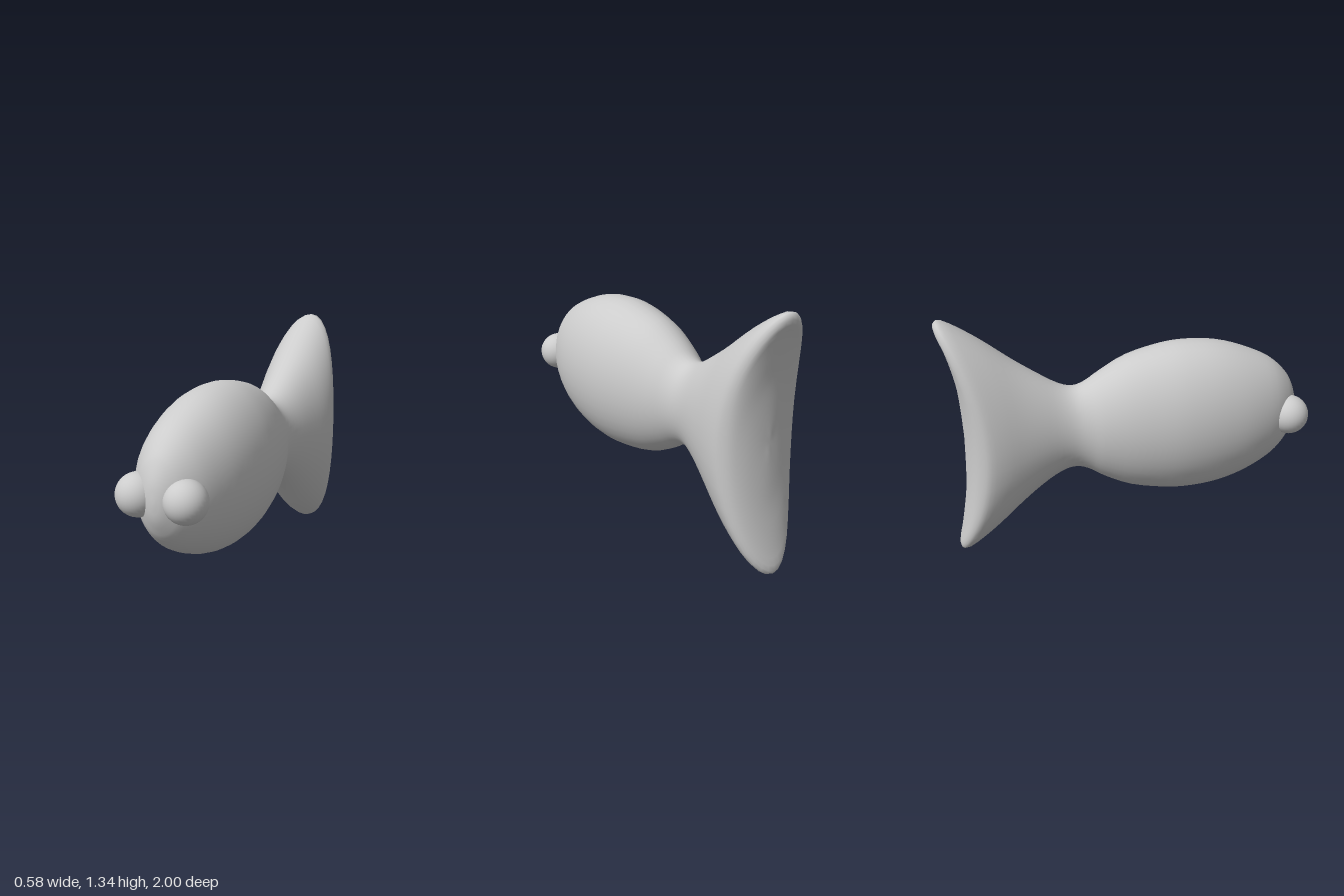
import * as THREE from 'three';
import { mergeVertices } from 'three/addons/utils/BufferGeometryUtils.js';

const SIDES = 40;
const STEPS = 3; // rings between neighbouring sections

// Cross-sections, nose to tail: z, half width, top, bottom, backward sweep of the tips
const sections = [
  [0.97, 0, 0.7, 0.7, 0],
  [0.96, 0.045, 0.79, 0.62, 0],
  [0.93, 0.095, 0.87, 0.55, 0],
  [0.89, 0.14, 0.93, 0.49, 0],
  [0.8, 0.2, 1.01, 0.41, 0],
  [0.65, 0.253, 1.08, 0.335, 0],
  [0.5, 0.28, 1.125, 0.29, 0],
  [0.35, 0.29, 1.14, 0.273, 0],
  [0.2, 0.282, 1.13, 0.28, 0],
  [0.0, 0.245, 1.08, 0.32, 0],
  [-0.15, 0.2, 1.0, 0.39, 0],
  [-0.23, 0.168, 0.95, 0.44, 0],
  [-0.3, 0.152, 0.93, 0.46, 0],
  [-0.38, 0.158, 0.953, 0.44, 0],
  [-0.48, 0.182, 1.02, 0.37, 0.01],
  [-0.58, 0.208, 1.11, 0.265, 0.04],
  [-0.68, 0.232, 1.24, 0.12, 0.11],
  [-0.76, 0.24, 1.34, 0.01, 0.195],
  [-0.805, 0.224, 1.31, 0.03, 0.19],
  [-0.842, 0.19, 1.22, 0.14, 0.12],
  [-0.87, 0.13, 1.04, 0.34, 0.045],
  [-0.885, 0.065, 0.87, 0.52, 0.012],
  [-0.89, 0, 0.69, 0.69, 0],
];

function loftBody() {
  const curveA = new THREE.CatmullRomCurve3(
    sections.map((s) => new THREE.Vector3(s[0], s[1], s[4])), false, 'catmullrom', 0.5);
  const curveB = new THREE.CatmullRomCurve3(
    sections.map((s) => new THREE.Vector3(s[2], s[3], 0)), false, 'catmullrom', 0.5);
  const rings = (sections.length - 1) * STEPS;
  const positions = [];
  const index = [];
  for (let i = 0; i <= rings; i++) {
    const { x: z, y: width, z: sweep } = curveA.getPoint(i / rings);
    const { x: top, y: bottom } = curveB.getPoint(i / rings);
    const shift = 0.01 * THREE.MathUtils.smoothstep(-z, 0.3, 0.75);
    for (let j = 0; j < SIDES; j++) {
      const angle = (j / SIDES) * Math.PI * 2;
      const s = Math.sin(angle);
      positions.push(
        shift + width * Math.cos(angle),
        (top + bottom) / 2 + ((top - bottom) / 2) * s,
        z - sweep * s * s * (s < 0 ? 0.85 : 1));
      if (i === rings) continue;
      const a = i * SIDES + j;
      const b = i * SIDES + ((j + 1) % SIDES);
      if (i < rings - 1) index.push(a, a + SIDES, b + SIDES);
      else index.push(a, a + SIDES, b);
      if (i > 0 && i < rings - 1) index.push(a, b + SIDES, b);
    }
  }
  let geometry = new THREE.BufferGeometry();
  geometry.setAttribute('position', new THREE.Float32BufferAttribute(positions, 3));
  geometry.setIndex(index);
  geometry = mergeVertices(geometry, 1e-5);
  geometry.computeVertexNormals();
  return geometry;
}

export function createModel() {
  const group = new THREE.Group();
  group.name = 'fish';
  const grey = new THREE.MeshStandardMaterial({ color: 0xcccccc });
  grey.name = 'plain grey';

  // Body flowing into the flared tail
  const body = new THREE.Mesh(loftBody(), grey);
  body.name = 'bodyAndTail';
  group.add(body);

  // Bulging eyes either side of the nose
  const eyeGeometry = new THREE.SphereGeometry(0.108, 32, 20);
  for (const side of [1, -1]) {
    const eye = new THREE.Mesh(eyeGeometry, grey);
    eye.name = side > 0 ? 'leftEye' : 'rightEye';
    eye.position.set(side * 0.127, 0.705, 0.892);
    group.add(eye);
  }
  return group;
}
